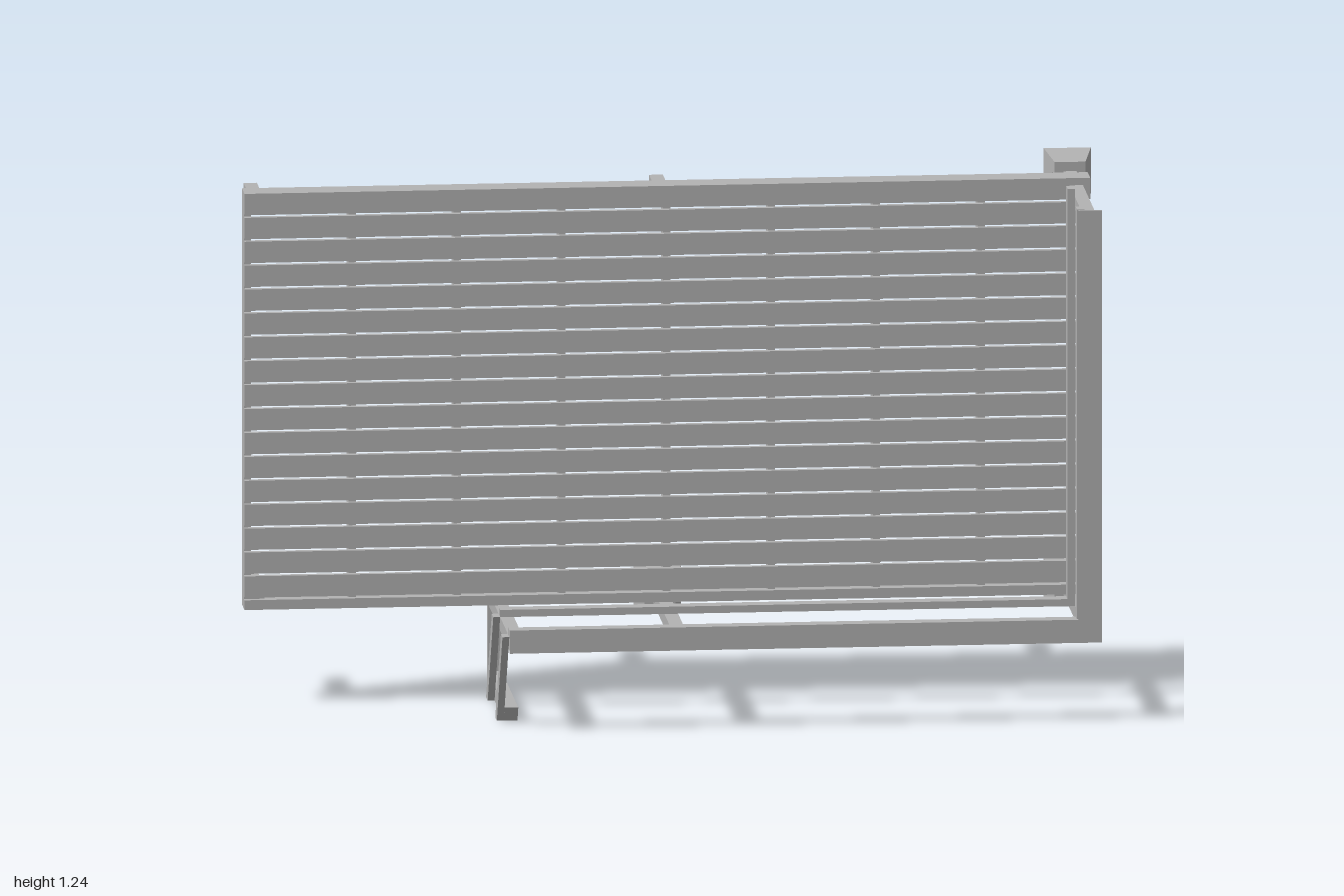
import * as THREE from 'three';

export function createModel() {
  const model = new THREE.Group();
  model.name = 'platform';
  const timber = new THREE.MeshStandardMaterial({ color: 0xb2b2b2 });
  timber.name = 'grey timber';

  const add = (name, geometry) => {
    const mesh = new THREE.Mesh(geometry, timber);
    mesh.name = name;
    model.add(mesh);
    return mesh;
  };
  // box given by its limits on each axis
  const bar = (name, x0, x1, y0, y1, z0, z1) => {
    const g = new THREE.BoxGeometry(x1 - x0, y1 - y0, z1 - z0);
    g.translate((x0 + x1) / 2, (y0 + y1) / 2, (z0 + z1) / 2);
    return add(name, g);
  };
  const shapeOf = (pts) => new THREE.Shape(pts.map(([a, b]) => new THREE.Vector2(a, b)));
  // plate outlined in (x, y), extruded along z
  const plateXY = (name, pts, z0, z1) => {
    const g = new THREE.ExtrudeGeometry(shapeOf(pts), { depth: z1 - z0, bevelEnabled: false });
    g.translate(0, 0, z0);
    return add(name, g);
  };
  // bar outlined in (z, y), extruded along x
  const plateZY = (name, pts, x0, x1) => {
    const g = new THREE.ExtrudeGeometry(shapeOf(pts.map(([z, y]) => [-z, y])), { depth: x1 - x0, bevelEnabled: false });
    g.rotateY(Math.PI / 2);
    g.translate(x0, 0, 0);
    return add(name, g);
  };

  // deck boards with narrow gaps
  const pitch = 0.0567, gap = 0.006;
  for (let i = 0; i < 18; i++) {
    const top = 1.215 - i * pitch;
    bar('deckBoard', -1, 0.972, Math.max(top - pitch + gap, 0.228), top, -0.085, -0.07);
  }

  // deck frame: rims and evenly spaced joists
  const T = 0.017, back = -0.135, under = -0.085;
  bar('frameTopRim', -1, 0.972, 1.215 - T, 1.215, back, under);
  bar('frameBottomRim', -1, 0.972, 0.228, 0.228 + T, back, under);
  for (let i = 0; i < 9; i++) {
    const x = -1 + i * (1.972 - T) / 8;
    bar('joist', x, x + T, 0.228 + T, 1.215 - T, back, under);
  }

  // short legs
  bar('cornerLeg', -0.983, -0.952, 1.167, 1.198, -0.275, under);
  bar('cornerLeg', -0.983, -0.952, 0.245, 0.28, -0.275, under);
  bar('middleLeg', -0.037, -0.005, 1.167, 1.198, -0.28, under);

  // long legs carrying the side frames
  bar('topBeam', 0.924, 0.955, 1.167, 1.198, -0.235, 0.294);
  bar('endBeam', 0.924, 0.955, 0.195, 0.227, -0.235, 0.294);
  bar('middleBeam', -0.033, -0.001, 0.195, 0.227, -0.235, 0.294);
  bar('stepBeam', -0.416, -0.384, 0.195, 0.227, -0.265, 0.294);

  // battens, one pair along the bottom and one pair upright
  for (const [z0, z1] of [[0.26, 0.294], [0.025, 0.06]]) {
    bar('lowerBatten', -0.416, 0.924, 0.227, 0.244, z0, z1);
    bar('uprightBatten', 0.907, 0.924, 0.244, 1.217, z0, z1);
  }

  // mitred facing boards
  plateXY('lowerFacing', [[-0.416, 0.19], [0.965, 0.19], [0.91, 0.245], [-0.416, 0.245]], 0.294, 0.3);
  plateXY('uprightFacing', [[0.965, 0.19], [0.965, 1.215], [0.91, 1.215], [0.91, 0.245]], 0.294, 0.3);

  // step bracket
  plateZY('stepRunner', [[0.148, 0], [-0.263, 0], [-0.263, 0.035], [0.17, 0.035]], -0.416, -0.384);
  bar('stepPost', -0.416, -0.384, 0.035, 0.195, -0.263, -0.249);
  for (const z of [0, -0.229]) {
    plateZY('stepBrace', [[0.148 + z, 0], [0.108 + z, 0], [0.249 + z, 0.227], [0.288 + z, 0.227]], -0.432, -0.416);
  }

  // flared feet, slotted across the narrow face
  const foot = (x, y) => {
    const s = shapeOf([[0, -0.036], [0.07, -0.055], [0.07, 0.055], [0, 0.036], [0, 0.009], [0.012, 0.009],
      [0.017, 0.005], [0.017, -0.005], [0.012, -0.009], [0, -0.009]]);
    const g = new THREE.ExtrudeGeometry(s, { depth: 2, bevelEnabled: false });
    g.rotateY(Math.PI / 2);
    g.translate(-1, 0, 0);
    const p = g.attributes.position;
    for (let i = 0; i < p.count; i++) {
      p.setX(i, p.getX(i) * (0.036 + 0.019 * -p.getZ(i) / 0.07));
    }
    g.computeVertexNormals();
    add('foot', g).position.set(x, y, -0.23);
  };
  foot(0.94, 1.184);
  foot(0.94, 0.211);
  foot(-0.016, 0.211);

  return model;
}
